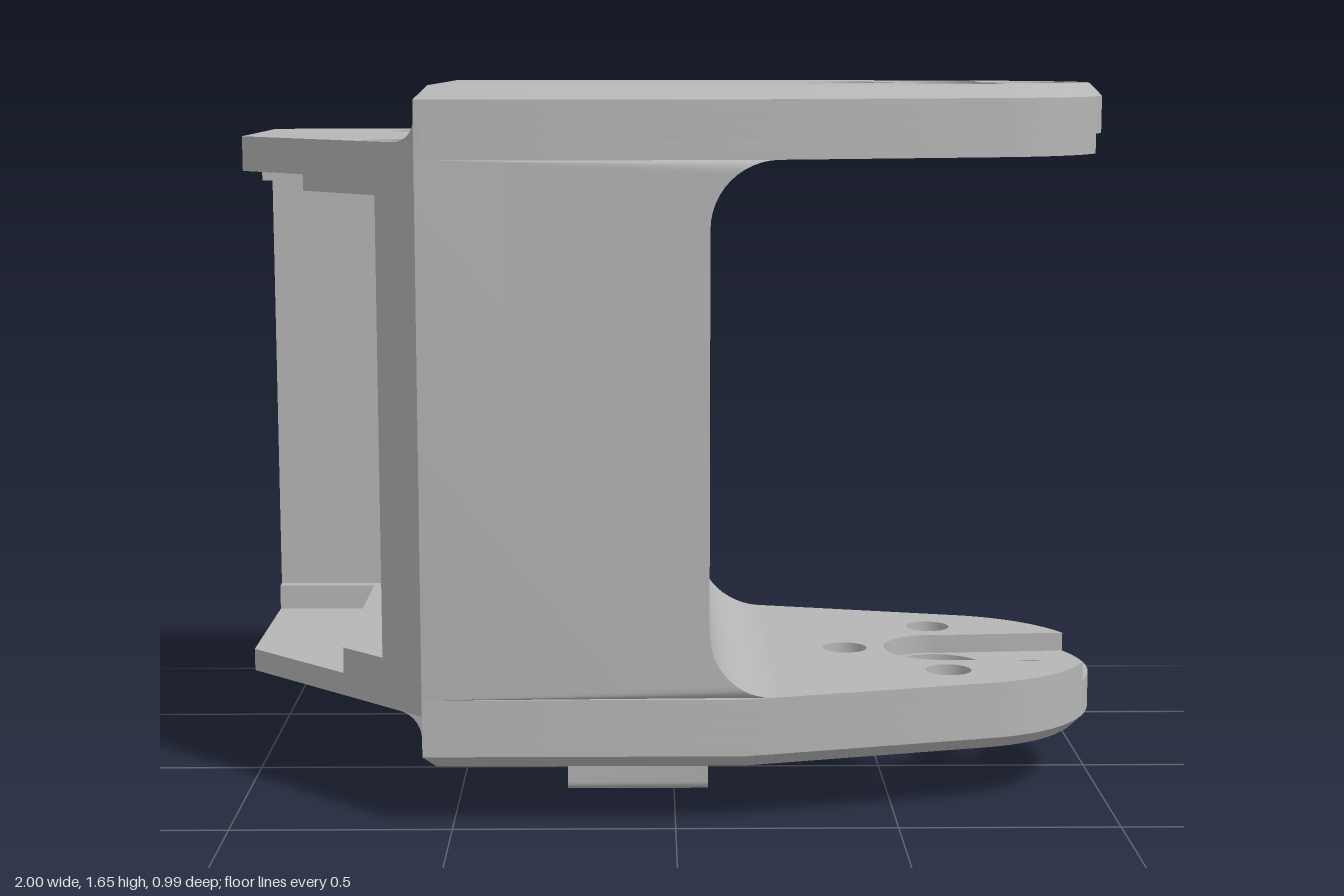
import * as THREE from 'three';
import { toCreasedNormals } from 'three/addons/utils/BufferGeometryUtils.js';

const MID = 0.8925;                 // mirror height of the fork
const BACK = -0.565, HALF = 0.495;  // rear face and half depth of the body
const CX = 0.64, NOSE = 0.36;       // centre and radius of the rounded fork tip
const PHI = 1.321, NX = Math.cos(PHI), NY = Math.sin(PHI); // taper normal
const LINE = NX * CX + NOSE;

const vec = (pts) => pts.map(([x, y]) => new THREE.Vector2(x, y));

function arc(cx, cy, r, a0, a1, n, ry = r) {
  return Array.from({ length: n + 1 }, (_, i) => {
    const a = a0 + (a1 - a0) * i / n;
    return [cx + r * Math.cos(a), cy + ry * Math.sin(a)];
  });
}

function extrude(pts, depth, holes = []) {
  const shape = new THREE.Shape(vec(pts));
  for (const [x, y, r] of holes) {
    shape.holes.push(new THREE.Path(vec(arc(x, y, r, 0, Math.PI * 2, 32).slice(0, -1))));
  }
  return new THREE.ExtrudeGeometry(shape, { depth, bevelEnabled: false });
}

// Horizontal layer between two heights; outline is given as (x, -z)
function slab(pts, y0, y1, holes) {
  return extrude(pts, y1 - y0, holes).rotateX(-Math.PI / 2).translate(0, y0, 0);
}

// Fork plan outline, optionally inset, with the nose arc replaceable
function outline(d = 0, nose = arc(CX, 0, NOSE - d, -PHI, PHI, 28)) {
  const w = HALF - d, k = (LINE - d - NY * w) / NX;
  return [[BACK + d, -w], [k, -w], ...nose, [k, w], [BACK + d, w]];
}

// Sloped band joining two outlines of equal length
function band(a, y0, b, y1) {
  const p = [], n = a.length;
  for (let i = 0; i < n; i++) {
    const j = (i + 1) % n;
    const q = [[a[i], y0], [a[j], y0], [b[j], y1], [b[i], y1]].map(([v, y]) => [v[0], y, -v[1]]);
    for (const c of [0, 1, 2, 0, 2, 3]) p.push(...q[c]);
  }
  const g = new THREE.BufferGeometry();
  g.setAttribute('position', new THREE.Float32BufferAttribute(p, 3));
  return g;
}

// Extrusion along z whose depth at each vertex is limited by a rule
function limitZ(geo, rule) {
  const p = geo.attributes.position;
  for (let i = 0; i < p.count; i++) p.setZ(i, rule(p.getX(i), p.getZ(i)));
  return geo;
}

export function createModel() {
  const model = new THREE.Group();
  model.name = 'bracket';
  const grey = new THREE.MeshStandardMaterial({ color: 0xb6b6b6 });
  grey.name = 'grey';

  function add(parent, name, geo) {
    geo.deleteAttribute('uv');
    const mesh = new THREE.Mesh(toCreasedNormals(geo, 0.45), grey);
    mesh.name = name;
    parent.add(mesh);
  }

  // Web with rounded inner corners that follow the taper of the plates
  const web = [
    [BACK, 0.295],
    ...arc(0.225, 0.445, 0.15, -Math.PI / 2, -Math.PI, 12),
    ...arc(0.225, 1.34, 0.15, Math.PI, Math.PI / 2, 12),
    [BACK, 1.49],
  ];
  const webGeo = extrude(web, 2 * HALF).translate(0, 0, -HALF);
  add(model, 'web', limitZ(webGeo, (x, z) => Math.sign(z) * Math.min(HALF, (LINE - NX * x) / NY)));

  // Fork plate: slotted inner layer, bolt holes, counterbores, chamfered rim
  const bolts = (r) => [[CX - 0.225, 0, r], [CX, 0.225, r], [CX, -0.225, r], [CX + 0.225, 0, r]];
  const a = Math.asin(0.15 / NOSE);
  const slotNose = [
    ...arc(CX, 0, NOSE, -PHI, -a, 14),
    ...arc(CX, 0, 0.13, -1.4, -2 * Math.PI + 1.4, 24),
    ...arc(CX, 0, NOSE, a, PHI, 14),
  ];
  const bore = [CX, 0, 0.115];
  const rim = outline(0.03);

  for (const side of ['upper', 'lower']) {
    const fork = new THREE.Group();
    fork.name = side + 'Fork';
    add(fork, 'slottedInnerLayer', slab(outline(0, slotNose), 1.49, 1.535, bolts(0.053).slice(0, 3)));
    add(fork, 'boltLayer', slab(outline(), 1.535, 1.57, [bore, ...bolts(0.053)]));
    add(fork, 'counterboreLayer', slab(outline(), 1.57, 1.62, [bore, ...bolts(0.103)]));
    add(fork, 'outerFace', slab(rim, 1.62, 1.65, [bore, ...bolts(0.103)]));
    add(fork, 'chamfer', band(outline(), 1.62, rim, 1.65));

    // Fillet between body and rear block, interrupted at the screw bores
    const fillet = [[BACK + 0.01, 1.52], [-0.615, 1.527],
      ...arc(-0.615, 1.577, 0.05, -Math.PI / 2, 0, 8).slice(1), [BACK + 0.01, 1.577]];
    const diagonal = (x) => 0.06 + (x + 1);
    for (const [z0, z1] of [[-HALF, -0.4], [-0.27, 0.27], [0.4, HALF]]) {
      const g = extrude(fillet, z1 - z0).translate(0, 0, z0);
      add(fork, 'fillet', limitZ(g, (x, z) => {
        const m = Math.min(HALF, diagonal(x));
        return side === 'upper' ? Math.min(z, m) : Math.max(z, -m);
      }));
    }
    if (side === 'lower') {
      fork.rotation.x = Math.PI;
      fork.position.y = 2 * MID;
    }
    model.add(fork);
  }

  // Rear block: full shelves, recessed shelves and the walls between them
  const block = new THREE.Group();
  block.name = 'rearBlock';
  const X1 = -0.56, D = -0.06;      // D: -z of the front corner at x = -1
  const full = [[-1, D], [BACK, -HALF], [X1, -HALF], [X1, HALF], [-1, HALF]];
  const recessed = (x, z) => [[x, D - (x + 1)], [BACK, -HALF], [X1, -HALF], [X1, HALF],
    [-1, HALF], [-1, -z], [x, -z]];
  const screws = (r) => [[-0.63, 0.335, r], [-0.63, -0.332, r]];
  add(block, 'upperShelf', slab(full, 1.447, 1.527, screws(0.063)));
  add(block, 'upperStep', slab(recessed(-0.84, -0.24), 1.41, 1.447, screws(0.04)));
  add(block, 'walls', slab(recessed(-0.66, -0.41), 0.37, 1.41));
  add(block, 'lowerStep', slab(recessed(-0.76, -0.38), 0.31, 0.37, screws(0.04)));
  add(block, 'lowerShelf', slab(full, 0.258, 0.31, screws(0.063)));
  model.add(block);

  // Split clip under the body with a keyhole channel running along x
  for (const s of [1, -1]) {
    const half = [
      [0.2, 0.14], ...arc(0.18, 0.02, 0.02, 0, -Math.PI / 2, 5), [0.03, 0],
      ...arc(0, 0.095, 0.09, -1.23, 0.82, 16, 0.055),
    ].map(([z, y]) => [z * s, y]);
    add(model, 'clipHalf', extrude(half, 0.33).rotateY(Math.PI / 2).translate(-0.25, 0, 0));
  }
  return model;
}
